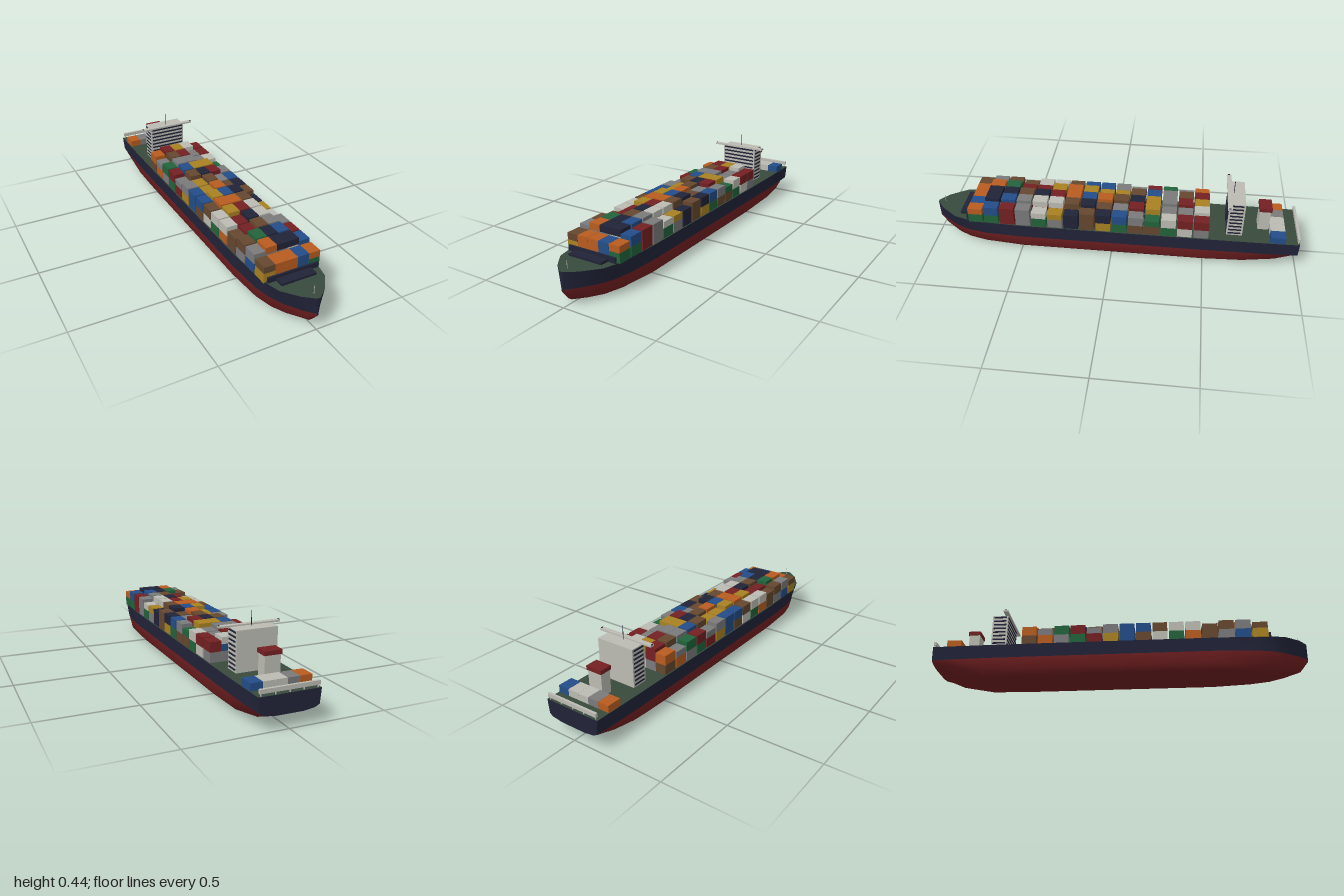
import * as THREE from 'three';

const mat = (name, color) => Object.assign(new THREE.MeshStandardMaterial({ color }), { name });
const M = {
  W: mat('offWhite', 0xbcbcb4), D: mat('deckGreen', 0x384a3d), N: mat('navy', 0x212338),
  R: mat('darkRed', 0x742022), O: mat('orange', 0xb85c20), B: mat('blue', 0x234d88),
  Y: mat('gold', 0xa88122), S: mat('grey', 0x7a7a7c), K: mat('brown', 0x65472f),
  G: mat('green', 0x22633b),
};

function add(parent, name, geometry, material) {
  const mesh = new THREE.Mesh(geometry, material);
  mesh.name = name;
  parent.add(mesh);
  return mesh;
}

// Box given by its minimum and maximum on each axis
function box(parent, name, material, x0, x1, y0, y1, z0, z1) {
  const mesh = add(parent, name, new THREE.BoxGeometry(x1 - x0, y1 - y0, z1 - z0), material);
  mesh.position.set((x0 + x1) / 2, (y0 + y1) / 2, (z0 + z1) / 2);
  return mesh;
}

function pole(parent, name, material, r, y0, y1, z) {
  const mesh = add(parent, name, new THREE.CylinderGeometry(r, r, y1 - y0, 8), material);
  mesh.position.set(0, (y0 + y1) / 2, z);
}

// Skin joining open cross-sections, each a list of [x, y, z]
function loft(sections) {
  const n = sections[0].length, index = [];
  for (let i = 0; i < sections.length - 1; i++) {
    for (let j = 0; j < n - 1; j++) {
      const a = i * n + j, b = a + 1, c = a + n, d = c + 1;
      index.push(a, c, b, b, c, d);
    }
  }
  const g = new THREE.BufferGeometry();
  g.setAttribute('position', new THREE.Float32BufferAttribute(sections.flat(2), 3));
  g.setIndex(index);
  g.computeVertexNormals();
  return g;
}

const DECK = 0.165, WATER = 0.09;

// z, keel y, flat bottom half width, bilge x, bilge y, waterline x, deck x, deck y
const STATIONS = [
  [-1, 0.07, 0.07, 0.125, 0.078, 0.148, 0.155, DECK],
  [-0.88, 0.022, 0.09, 0.142, 0.05, 0.155, 0.157, DECK],
  [-0.72, 0, 0.115, 0.15, 0.032, 0.158, 0.159, DECK],
  [-0.5, 0, 0.125, 0.153, 0.03, 0.16, 0.16, DECK],
  [0, 0, 0.125, 0.153, 0.03, 0.16, 0.16, DECK],
  [0.5, 0, 0.125, 0.153, 0.03, 0.16, 0.16, DECK],
  [0.7, 0, 0.1, 0.14, 0.03, 0.15, 0.153, 0.166],
  [0.8, 0, 0.07, 0.115, 0.03, 0.13, 0.142, 0.169],
  [0.87, 0.003, 0.03, 0.08, 0.03, 0.1, 0.125, 0.172],
  [0.955, 0.025, 0.01, 0.03, 0.05, 0.045, 0.063, 0.176],
  [1, 0.08, 0.003, 0.004, 0.085, 0.004, 0.008, 0.177],
];

function buildHull(ship) {
  const hull = new THREE.Group();
  hull.name = 'hull';
  ship.add(hull);
  const lower = ([z, ky, bx, cx, cy, wx]) => [
    [wx, WATER, z], [cx, cy, z], [bx, ky, z], [0, ky, z],
    [-bx, ky, z], [-cx, cy, z], [-wx, WATER, z]];
  add(hull, 'lowerHull', loft(STATIONS.map(lower)), M.R);
  add(hull, 'leftTopside', loft(STATIONS.map(s => [[s[6], s[7], s[0]], [s[5], WATER, s[0]]])), M.N);
  add(hull, 'rightTopside', loft(STATIONS.map(s => [[-s[5], WATER, s[0]], [-s[6], s[7], s[0]]])), M.N);
  add(hull, 'deck', loft(STATIONS.map(s => [[-s[6], s[7], s[0]], [s[6], s[7], s[0]]])), M.D);

  // Flat end faces of the hull
  for (const [name, s] of [['transom', STATIONS[0]], ['stemFace', STATIONS.at(-1)]]) {
    const outline = lower(s).map(([x, y]) => new THREE.Vector2(x, y));
    outline.push(new THREE.Vector2(-s[6], s[7]), new THREE.Vector2(s[6], s[7]));
    const face = add(hull, name, new THREE.ShapeGeometry(new THREE.Shape(outline)), M.N);
    face.position.z = s[0];
    if (s[0] < 0) face.rotation.y = Math.PI;
  }
}

// Top container colours, one string per bay from stern to bow, -x to +x
const BAYS = ['ORYWR', 'SKRSR', 'GSSSW', 'RBYYG', 'SKNRS', 'SYKSB', 'BYOKN', 'BYBNK',
  'KOOKN', 'WYRWY', 'WRNWW', 'KRKSS', 'KGNBR', 'SONNB', 'KOOBO'];
const LEFT_LOW = 'SWGKKGYKNSGSRGG';   // bottom containers on the +x side
const RIGHT_LOW = 'KOSGRYBKWGOKSBY';  // bottom containers on the -x side
const COL = 0.0615, PITCH = 0.0875, LONG = 0.0785;

function buildCargo(ship) {
  const cargo = new THREE.Group();
  cargo.name = 'containers';
  ship.add(cargo);
  let seed = 11;
  const rand = () => (seed = (seed * 16807) % 2147483647) / 2147483647;
  const pick = () => 'ROBYSKGWN'[Math.floor(rand() * 9)];

  const stack = (col, z, heights, colours) => {
    const x = (col - 2) * COL;
    let y = DECK;
    heights.forEach((h, i) => {
      box(cargo, 'container', M[colours[i]], x - COL / 2 + 0.0004, x + COL / 2 - 0.0004,
        y, y + h, z - LONG / 2, z + LONG / 2);
      y += h;
    });
  };

  BAYS.forEach((tops, bay) => {
    const z = -0.481 + bay * PITCH, foremost = bay === BAYS.length - 1;
    [...tops].forEach((top, col) => {
      const outer = col === 0 || col === 4;
      const low = col === 4 ? LEFT_LOW[bay] : col === 0 ? RIGHT_LOW[bay] : pick();
      const tall = rand() < 0.7 || bay === BAYS.length - 2 || col === 2;
      if (foremost) stack(col, z, [0.052, 0.0345], [col === 3 ? 'B' : col === 1 || col === 2 ? 'O' : low, top]);
      else if (outer) stack(col, z, tall ? [0.0515, 0.0515] : [0.052, 0.0345], [low, top]);
      else if (tall) stack(col, z, [0.052, 0.0345, 0.0345], [low, pick(), top]);
      else stack(col, z, [0.0515, 0.0515], [low, top]);
    });
  });

  // Single tier behind the funnel
  [...'OSWWB'].forEach((c, col) => stack(col, -0.886, [0.0365], [c]));
}

function buildBridge(ship) {
  const bridge = new THREE.Group();
  bridge.name = 'bridge';
  ship.add(bridge);
  box(bridge, 'accommodationBlock', M.W, -0.106, 0.106, DECK, 0.366, -0.7, -0.615);
  box(bridge, 'bridgeWing', M.W, -0.158, 0.158, 0.364, 0.373, -0.63, -0.605);
  for (const s of [-1, 1]) {
    box(bridge, 'wingLamp', M.N, s * 0.156 - 0.002, s * 0.156 + 0.002, 0.373, 0.376, -0.622, -0.612);
  }
  // Window bands on the front and both sides
  for (let i = 0; i < 9; i++) {
    const y = 0.351 - i * 0.0221;
    box(bridge, 'frontWindows', M.N, -0.098, 0.098, y, y + 0.009, -0.616, -0.613);
    for (const s of [-1, 1]) {
      box(bridge, 'sideWindows', M.N, s * 0.106 - 0.0015, s * 0.106 + 0.0015, y, y + 0.009, -0.692, -0.623);
    }
  }
  pole(bridge, 'radarMast', M.N, 0.0016, 0.366, 0.437, -0.64);
}

export function createModel() {
  const ship = new THREE.Group();
  ship.name = 'containerShip';
  buildHull(ship);
  buildCargo(ship);
  buildBridge(ship);

  // Funnel
  box(ship, 'funnel', M.W, -0.04, 0.04, DECK, 0.286, -0.843, -0.785);
  box(ship, 'funnelCap', M.R, -0.045, 0.045, 0.284, 0.305, -0.848, -0.781);

  // Bow fittings
  box(ship, 'breakwater', M.N, -0.139, 0.139, 0.16, 0.197, 0.788, 0.798);
  box(ship, 'foreHatch', M.N, -0.095, 0.095, 0.16, 0.183, 0.79, 0.846);
  pole(ship, 'foremast', M.W, 0.0014, 0.17, 0.218, 0.96);

  // Stern rail
  box(ship, 'sternRail', M.W, -0.148, 0.148, 0.178, 0.198, -1, -0.987);
  for (let i = -2; i <= 2; i++) {
    box(ship, 'railPost', M.W, i * 0.07 - 0.002, i * 0.07 + 0.002, DECK, 0.18, -0.996, -0.991);
  }
  return ship;
}
